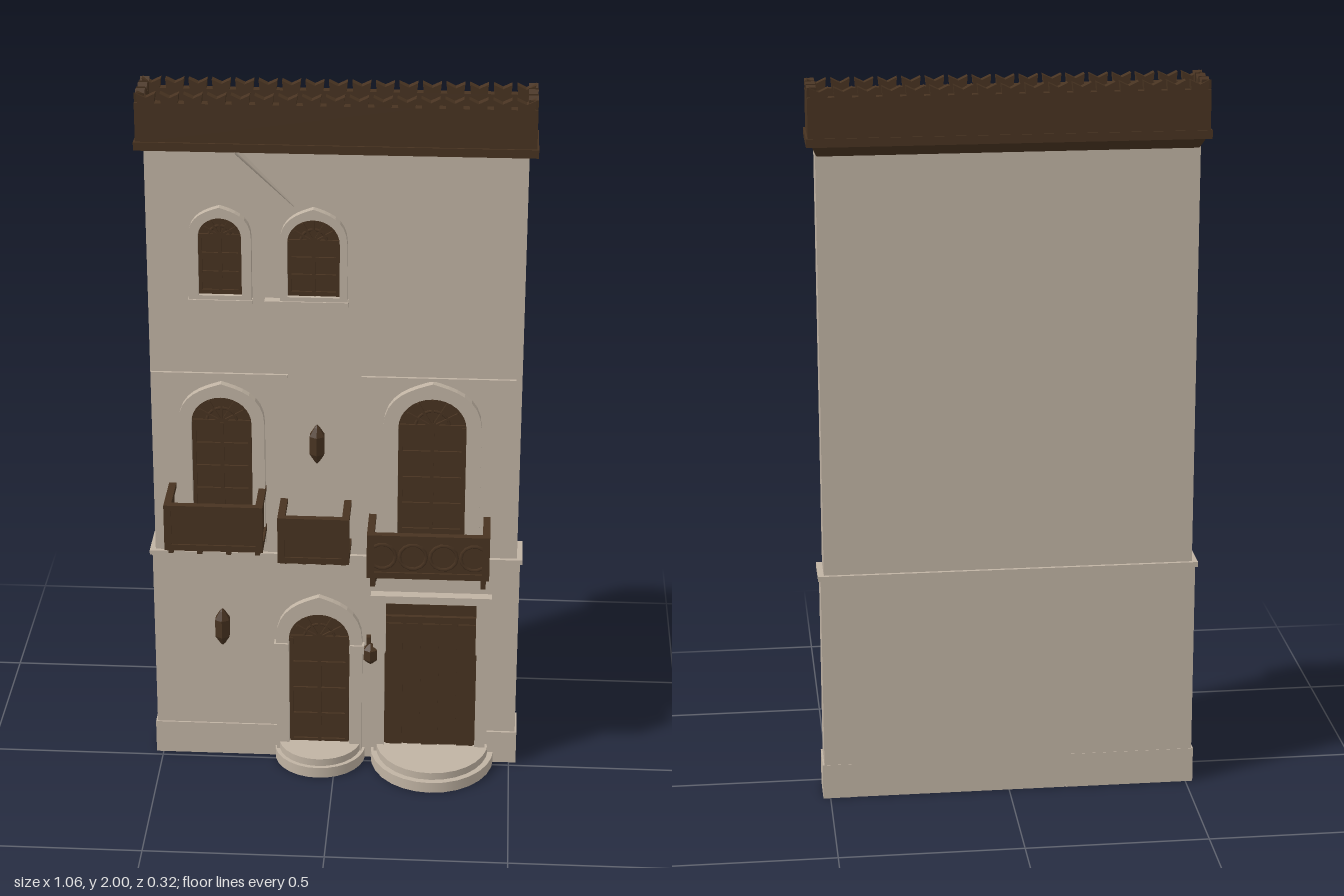
import * as THREE from 'three';

export function createModel() {
  const model = new THREE.Group();
  model.name = 'townhouseFacade';
  const stone = new THREE.MeshStandardMaterial({ color: 0xc0b3a3 });
  stone.name = 'paleStone';
  const wood = new THREE.MeshStandardMaterial({ color: 0x483321 });
  wood.name = 'darkWood';
  const WALL = -0.025; // front plane of the wall

  const add = (name, geo, mat, parent = model) => {
    const m = new THREE.Mesh(geo, mat);
    m.name = name;
    parent.add(m);
    return m;
  };
  // box given by its limits
  const box = (name, mat, x0, x1, y0, y1, z0, z1, parent = model) => {
    const m = add(name, new THREE.BoxGeometry(x1 - x0, y1 - y0, z1 - z0), mat, parent);
    m.position.set((x0 + x1) / 2, (y0 + y1) / 2, (z0 + z1) / 2);
    return m;
  };
  const group = (name, x = 0, y = 0, z = 0) => {
    const g = new THREE.Group();
    g.name = name;
    g.position.set(x, y, z);
    model.add(g);
    return g;
  };
  const extrude = (shape, depth) =>
    new THREE.ExtrudeGeometry(shape, { depth, bevelEnabled: false, curveSegments: 8 });

  // Wall, plinth and string courses
  box('lowerWall', stone, -0.515, 0.515, 0, 0.65, -0.127, -0.023);
  box('upperWall', stone, -0.506, 0.506, 0.65, 1.86, -0.124, WALL);
  box('leftPlinth', stone, 0.435, 0.52, 0, 0.1, -0.128, -0.016);
  box('rightPlinth', stone, -0.52, -0.16, 0, 0.1, -0.128, -0.018);
  box('lowerStringCourse', stone, -0.522, 0.522, 0.645, 0.659, -0.133, -0.014);
  box('upperStringCourse', stone, -0.505, -0.13, 1.196, 1.205, WALL - 0.01, -0.017);
  box('upperStringCourse', stone, 0.07, 0.49, 1.196, 1.205, WALL - 0.01, -0.017);

  // Thin raised crease in the plaster
  const a = new THREE.Vector3(-0.26, 1.845, -0.014), b = new THREE.Vector3(-0.11, 1.69, -0.026);
  const crease = add('plasterCrease', new THREE.CylinderGeometry(0.002, 0.009, a.distanceTo(b), 5), stone);
  crease.position.copy(a).lerp(b, 0.5);
  crease.quaternion.setFromUnitVectors(new THREE.Vector3(0, 1, 0), b.clone().sub(a).normalize());

  // Cornice: a flared band under the parapet
  const flare = new THREE.BoxGeometry(1, 1, 1);
  const fp = flare.attributes.position;
  for (let i = 0; i < fp.count; i++) {
    const top = fp.getY(i) > 0, front = fp.getZ(i) > 0;
    fp.setXYZ(i, Math.sign(fp.getX(i)) * (top ? 0.52 : 0.5), top ? 1.855 : 1.81,
      front ? (top ? -0.03 : -0.06) : (top ? -0.157 : -0.12));
  }
  flare.computeVertexNormals();
  add('corniceFlare', flare, wood);
  box('corniceBand', wood, -0.53, 0.53, 1.845, 1.868, -0.16, 0);

  // Parapet with notched merlons
  const parapetSide = (length, count) => {
    const s = new THREE.Shape(), step = length / count, h = length / 2;
    s.moveTo(-h, 0);
    s.lineTo(h, 0);
    for (let i = count - 1; i >= 0; i--) {
      const c = -h + (i + 0.5) * step;
      s.lineTo(c + step * 0.5, 0.108);
      s.lineTo(c + step * 0.36, 0.108);
      s.lineTo(c + step * 0.4, 0.134);
      s.lineTo(c, 0.122);
      s.lineTo(c - step * 0.4, 0.134);
      s.lineTo(c - step * 0.36, 0.108);
      s.lineTo(c - step * 0.5, 0.108);
    }
    s.closePath();
    return extrude(s, 0.025);
  };
  const long = parapetSide(1.05, 17), short = parapetSide(0.152, 3);
  add('parapetFront', long, wood).position.set(0, 1.866, -0.03);
  add('parapetBack', long, wood).position.set(0, 1.866, -0.157);
  for (const s of [-1, 1]) {
    const m = add('parapetEnd', short, wood);
    m.rotation.y = s * Math.PI / 2;
    m.position.set(s * 0.5, 1.866, -0.081);
  }
  box('parapetInnerLedge', wood, -0.51, -0.47, 1.86, 1.9, -0.14, -0.02);
  box('parapetInnerLedge', wood, 0.48, 0.51, 1.86, 1.9, -0.14, -0.02);
  box('parapetInnerLedge', wood, -0.5, 0.5, 1.86, 1.9, -0.05, -0.02);
  // Worn patches of the roof
  for (const [x, w] of [[-0.22, 0.07], [-0.035, 0.06], [0.2, 0.075], [0.45, 0.05]])
    box('roofPatch', stone, x - w / 2, x + w / 2, 1.866, 1.871, -0.13, -0.052);

  // Arch outline centred on x = 0; point = 1 gives a raised tip
  const archPath = (path, w, y0, spring, top, point) => {
    const h = top - spring, k = point ? 0.72 : 0.56;
    path.moveTo(-w, y0);
    path.lineTo(w, y0);
    path.lineTo(w, spring);
    path.bezierCurveTo(w, spring + h * k, w * (point ? 0.4 : 0.56), top - h * (point ? 0.13 : 0), 0, top);
    path.bezierCurveTo(-w * (point ? 0.4 : 0.56), top - h * (point ? 0.13 : 0), -w, spring + h * k, -w, spring);
    path.closePath();
    return path;
  };

  // Arched opening: stone surround, dark leaf, rails, stiles and a fanlight
  const archedOpening = (name, x, w, ow, y0, top, otop, rails) => {
    const g = group(name, x);
    const spring = top - w * 0.95;
    const outer = archPath(new THREE.Shape(), ow, y0 - 0.018, spring, otop, true);
    outer.holes.push(archPath(new THREE.Path(), w, y0, spring, top, false));
    add('surround', extrude(outer, 0.03), stone, g).position.z = -0.032;
    add('leaf', extrude(archPath(new THREE.Shape(), w, y0, spring, top, false), 0.008), wood, g).position.z = -0.028;
    for (const f of [-0.92, 0, 0.92])
      box('stile', wood, f * w - 0.005, f * w + 0.005, y0, spring, WALL, -0.013, g);
    for (let i = 0; i <= rails; i++) {
      const y = y0 + 0.006 + (spring - y0 - 0.006) * i / rails;
      box('rail', wood, -w * 0.96, w * 0.96, y - 0.006, y + 0.006, WALL, -0.014, g);
    }
    for (let i = 1; i < 6; i++) {
      const t = i * Math.PI / 6, r = w * 0.86;
      const bar = box('fanlightBar', wood, -r / 2, r / 2, -0.003, 0.003, -0.004, 0.004, g);
      bar.position.set(Math.cos(t) * r / 2, spring + Math.sin(t) * r / 2, -0.018);
      bar.rotation.z = t;
    }
    const ring = add('fanlightRing', new THREE.TorusGeometry(w * 0.5, 0.004, 4, 12, Math.PI), wood, g);
    ring.position.set(0, spring, -0.018);
    return g;
  };
  archedOpening('upperRightWindow', -0.308, 0.058, 0.084, 1.44, 1.66, 1.69, 3);
  archedOpening('upperLeftWindow', -0.058, 0.07, 0.09, 1.44, 1.66, 1.69, 3);
  archedOpening('middleRightWindow', -0.312, 0.083, 0.118, 0.71, 1.14, 1.18, 5);
  archedOpening('middleLeftWindow', 0.265, 0.093, 0.134, 0.66, 1.15, 1.195, 5);
  box('windowSill', stone, -0.395, -0.222, 1.415, 1.428, WALL, 0.002);
  box('windowSill', stone, -0.19, 0.035, 1.415, 1.428, WALL, 0.002);

  // Arched door with capitals
  const door = archedOpening('archedDoor', -0.046, 0.086, 0.122, 0.05, 0.475, 0.53, 4);
  for (const s of [-1, 1])
    box('capital', stone, s * 0.107 - 0.021, s * 0.107 + 0.021, 0.355, 0.38, -0.03, 0.004, door);

  // Square door: planked leaf, stone jambs, corbels and lintel
  const gate = group('squareDoor', 0.27);
  box('leaf', wood, -0.13, 0.13, 0.05, 0.525, -0.03, -0.017, gate);
  for (let i = 0; i < 5; i++)
    box('plank', wood, -0.126 + i * 0.051, -0.079 + i * 0.051, 0.055, 0.45, -0.02, i % 2 ? -0.013 : -0.01, gate);
  box('transom', wood, -0.13, 0.13, 0.455, 0.475, -0.02, -0.006, gate);
  box('transom', wood, -0.13, 0.13, 0.495, 0.515, -0.02, -0.006, gate);
  for (const s of [-1, 1]) {
    const c = s * 0.145;
    box('jamb', stone, c - 0.015, c + 0.015, 0.03, 0.52, -0.03, -0.005, gate);
    box('corbel', stone, c - 0.018, c + 0.018, 0.36, 0.52, -0.03, 0, gate);
  }
  box('lintel', stone, -0.17, 0.17, 0.522, 0.545, -0.03, 0.006, gate);

  // Rounded entrance steps, two tiers each
  const steps = (name, x, rx, reach) => {
    const g = group(name, x, 0, -0.03);
    [[0, 0.032, 1], [0.032, 0.054, 0.91]].forEach(([y0, y1, f]) => {
      const geo = new THREE.CylinderGeometry(1, 1, y1 - y0, 14, 1, false, -Math.PI / 2, Math.PI);
      const m = add('step', geo, stone, g);
      m.scale.set(rx * f, 1, (reach + 0.03) * f);
      m.position.y = (y0 + y1) / 2;
    });
  };
  steps('archedDoorSteps', -0.045, 0.13, 0.1);
  steps('squareDoorSteps', 0.278, 0.177, 0.16);

  // Balcony: floor, three panelled sides, posts, rails, rings and brackets
  const balcony = (name, x0, x1, y0, y1, z1, drop, rings) => {
    const g = group(name), t = 0.012;
    box('floor', wood, x0, x1, y0, y0 + 0.018, WALL, z1, g);
    box('frontPanel', wood, x0 + t, x1 - t, y0, y1 - 0.005, z1 - t, z1 - 0.005, g);
    box('frontRail', wood, x0, x1, y1 - 0.015, y1, z1 - 0.02, z1, g);
    for (const x of [x0, x1 - 0.02]) {
      box('sidePanel', wood, x + 0.006, x + 0.014, y0, y1 - 0.005, WALL, z1 - t, g);
      box('sideRail', wood, x, x + 0.02, y1 - 0.015, y1, WALL, z1, g);
      box('cornerPost', wood, x, x + 0.02, y0, y1, z1 - 0.02, z1, g);
    }
    for (let i = 0; i < rings; i++) {
      const r = add('panelRing', new THREE.TorusGeometry(0.037, 0.005, 4, 14), wood, g);
      r.position.set(x0 + (x1 - x0) * (i + 0.5) / rings, (y0 + y1) / 2, z1 - 0.005);
    }
    // curved brackets below
    const s = new THREE.Shape();
    s.moveTo(WALL, 0);
    s.lineTo(z1 - 0.012, 0);
    s.lineTo(z1 - 0.012, -drop * 0.5);
    s.quadraticCurveTo(0.02, -drop * 0.6, 0, -drop);
    s.lineTo(WALL, -drop);
    s.closePath();
    const n = rings ? 2 : 4;
    for (let i = 0; i < n; i++) {
      const m = add('bracket', extrude(s, 0.014), wood, g);
      m.rotation.y = -Math.PI / 2;
      m.position.set(x0 + 0.023 + (x1 - x0 - 0.032) * i / (n - 1), y0, 0);
    }
  };
  balcony('rightBalcony', -0.463, -0.192, 0.73, 0.867, 0.118, 0.03, 0);
  balcony('middleBalcony', -0.153, 0.044, 0.69, 0.828, 0.1, 0.015, 0);
  balcony('leftBalcony', 0.093, 0.43, 0.655, 0.787, 0.106, 0.065, 4);

  // Wall lanterns
  const lantern = (name, x, y, h, r) => {
    const pts = [[0, -0.5], [0.35, -0.42], [1, -0.22], [1, 0.22], [0.35, 0.42], [0, 0.5]]
      .map(([px, py]) => new THREE.Vector2(px * r, py * h));
    const geo = new THREE.LatheGeometry(pts, 6).toNonIndexed();
    geo.computeVertexNormals();
    add(name, geo, wood).position.set(x, y, -0.008);
  };
  lantern('upperLantern', -0.05, 1.005, 0.12, 0.023);
  lantern('lowerLantern', -0.32, 0.425, 0.12, 0.023);
  lantern('doorLantern', 0.1, 0.352, 0.07, 0.022);
  box('doorLanternArm', wood, 0.088, 0.1, 0.37, 0.405, WALL, -0.005);

  return model;
}
